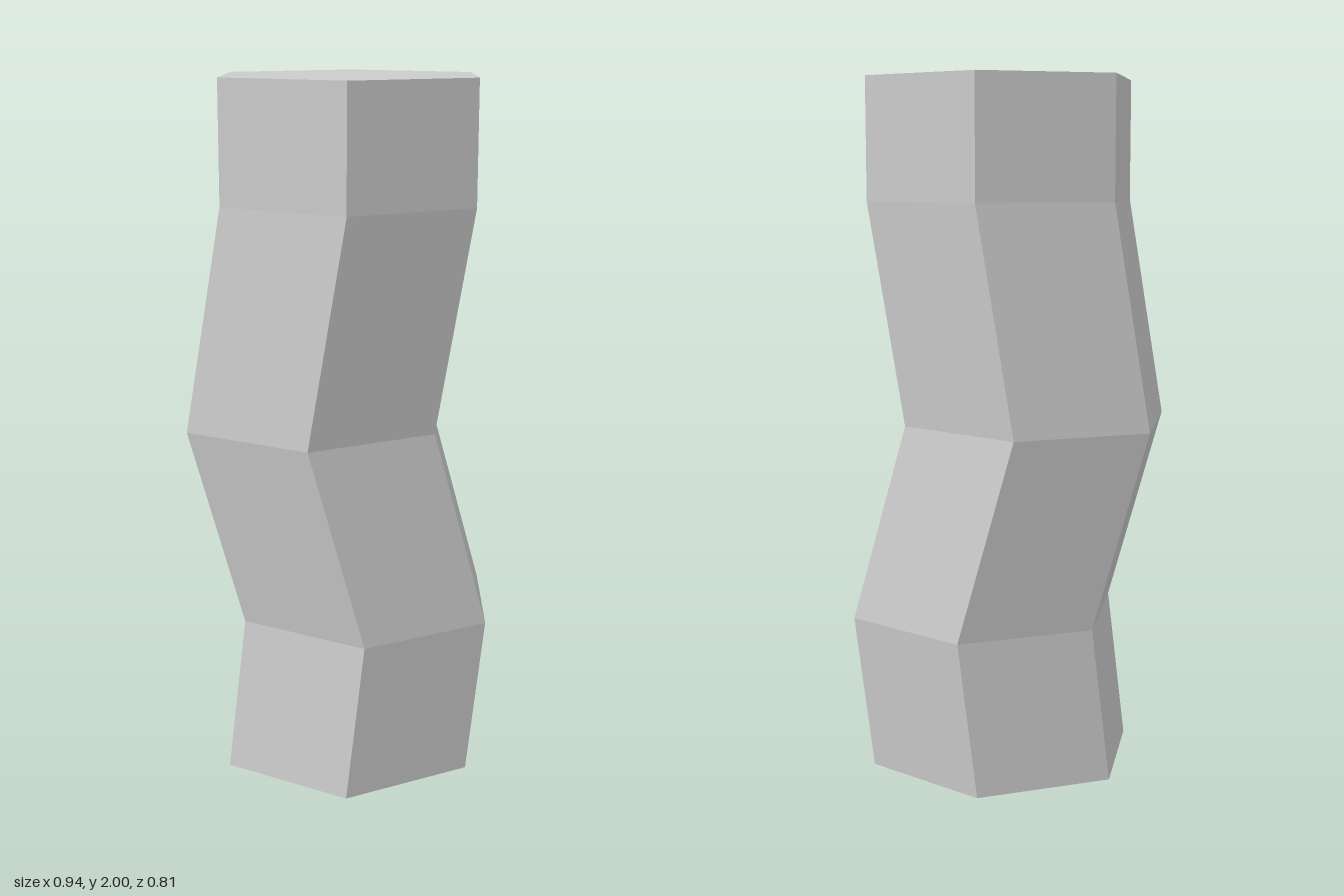
import * as THREE from 'three';

// Centre of each horizontal hexagonal section, bottom to top: x, y, z
const SECTIONS = [
  [0.028, 0, -0.002],
  [0.066, 0.45, -0.04],
  [-0.069, 1.02, 0.038],
  [0.028, 1.655, -0.002],
  [0.028, 2, -0.002],
];
const RADIUS = 0.403;
const TURN = THREE.MathUtils.degToRad(25.5);

export function createModel() {
  const group = new THREE.Group();
  group.name = 'bentColumn';

  // Hexagonal prism whose rings are shifted sideways onto the sections
  const rows = SECTIONS.length - 1;
  const geometry = new THREE.CylinderGeometry(RADIUS, RADIUS, rows, 6, rows, false, TURN);
  const pos = geometry.attributes.position;
  for (let i = 0; i < pos.count; i++) {
    const [x, y, z] = SECTIONS[Math.round(pos.getY(i) + rows / 2)];
    pos.setXYZ(i, pos.getX(i) + x, y, pos.getZ(i) + z);
  }
  geometry.computeVertexNormals();

  const material = new THREE.MeshStandardMaterial({ color: 0xcccccc, flatShading: true });
  const column = new THREE.Mesh(geometry, material);
  column.name = 'column';
  group.add(column);
  return group;
}
